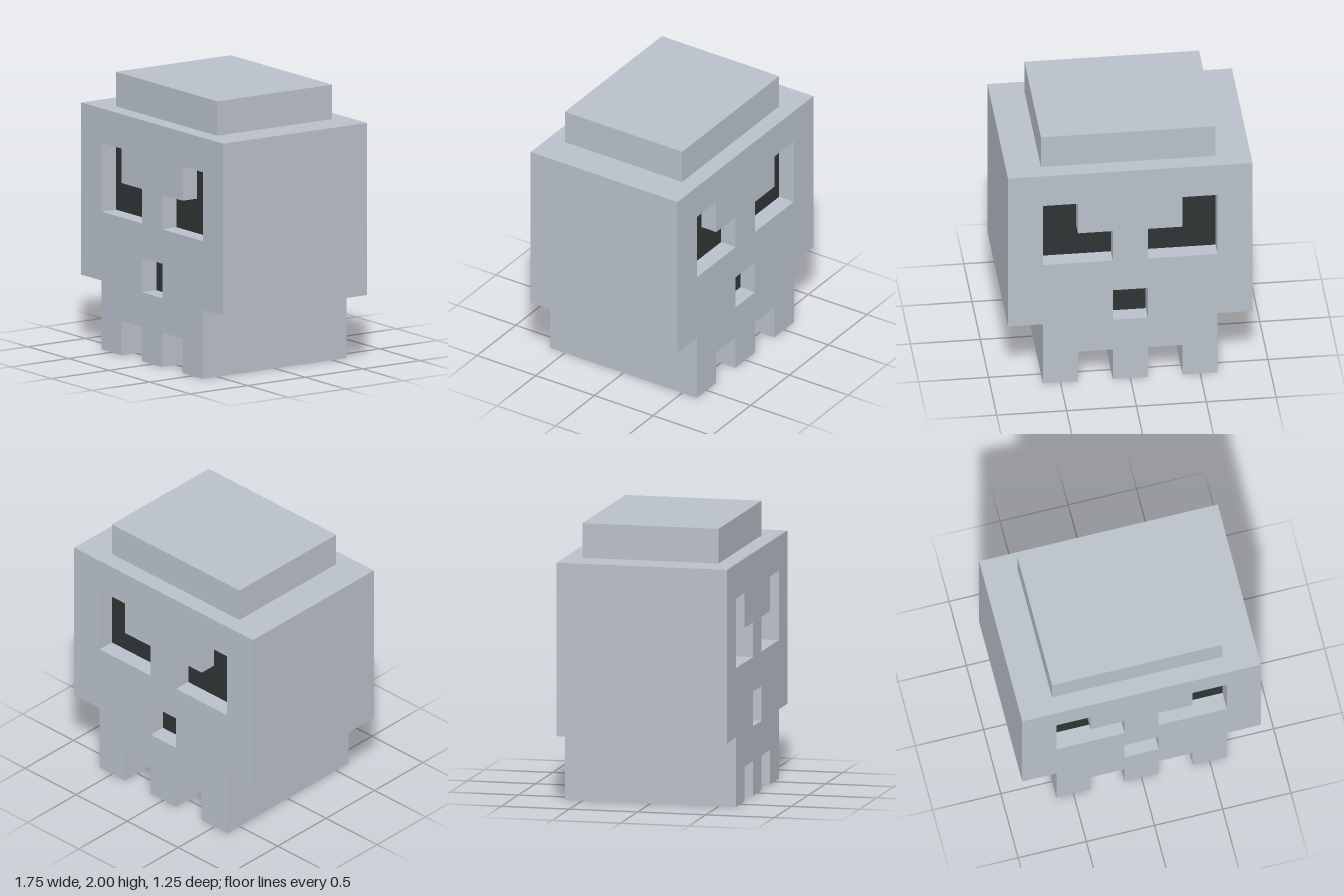
import * as THREE from 'three';

const bone = new THREE.MeshStandardMaterial({ color: 0xb9c0c9 });
bone.name = 'bone grey';
const dark = new THREE.MeshStandardMaterial({ color: 0x2d3535 });
dark.name = 'socket dark';

const DEPTH = 1.25;   // front to back
const RECESS = 0.125; // how far the sockets sink in

const points = (list) => list.map(([x, y]) => new THREE.Vector2(x, y));
const mirror = (list) => list.map(([x, y]) => [-x, y]).reverse();

export function createModel() {
  const model = new THREE.Group();
  model.name = 'blockSkull';

  const add = (name, geometry, material, parent = model) => {
    const mesh = new THREE.Mesh(geometry, material);
    mesh.name = name;
    parent.add(mesh);
    return mesh;
  };

  // Right half of the outline, from the middle tooth up to the top of the head
  const half = [
    [0.125, 0], [0.125, 0.25], [0.375, 0.25], [0.375, 0], [0.625, 0],
    [0.625, 0.5], [0.875, 0.5], [0.875, 1.75],
  ];
  const eye = [
    [0.125, 1], [0.625, 1], [0.625, 1.5], [0.375, 1.5], [0.375, 1.25], [0.125, 1.25],
  ];
  const nose = [[-0.125, 0.5], [0.125, 0.5], [0.125, 0.75], [-0.125, 0.75]];
  const sockets = { leftEye: eye, rightEye: mirror(eye), nose };

  // Head, jaw and teeth in one block, with socket openings
  const outline = new THREE.Shape(points([...half, ...mirror(half)]));
  for (const socket of Object.values(sockets)) {
    outline.holes.push(new THREE.Path(points(socket)));
  }
  const head = new THREE.ExtrudeGeometry(outline, { depth: DEPTH, bevelEnabled: false });
  head.translate(0, 0, -DEPTH / 2);
  add('head', head, bone);

  // Raised crown
  const crown = new THREE.BoxGeometry(1.25, 0.25, 1);
  crown.translate(0, 1.875, 0);
  add('crown', crown, bone);

  // Dark socket floors, the same face on front and back
  for (const side of ['front', 'back']) {
    const face = new THREE.Group();
    face.name = `${side}Sockets`;
    if (side === 'back') face.rotation.y = Math.PI;
    for (const [name, socket] of Object.entries(sockets)) {
      const floor = new THREE.ShapeGeometry(new THREE.Shape(points(socket)));
      floor.translate(0, 0, DEPTH / 2 - RECESS);
      add(name, floor, dark, face);
    }
    model.add(face);
  }

  return model;
}
